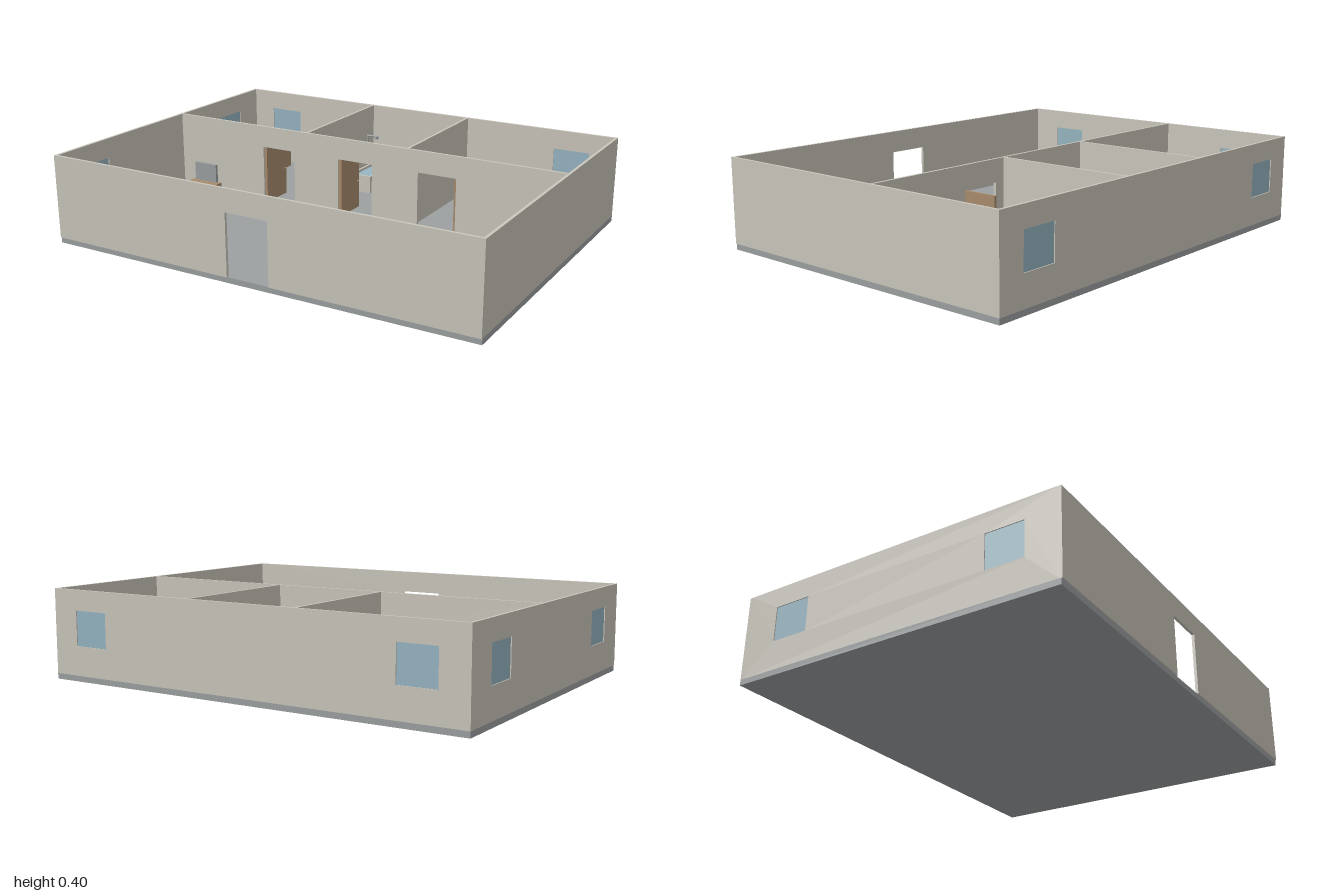
import * as THREE from 'three';

const mat = (name, color) => {
  const m = new THREE.MeshStandardMaterial({ color });
  m.name = name;
  return m;
};

export function createModel() {
  const cream = mat('cream', 0xcac6bc);
  const wood = mat('wood', 0xa98c6d);
  const blue = mat('blue', 0x96b5c2);
  const grey = mat('grey', 0x9ca0a1);

  const F = 0.025; // floor level
  const H = 0.4;   // wall top
  const T = 0.0125; // wall thickness
  const model = new THREE.Group();
  model.name = 'house';

  const group = (name, parent = model) => {
    const g = new THREE.Group();
    g.name = name;
    parent.add(g);
    return g;
  };
  // Box given by its limits on each axis
  const box = (parent, name, material, x0, x1, y0, y1, z0, z1) => {
    const m = new THREE.Mesh(new THREE.BoxGeometry(x1 - x0, y1 - y0, z1 - z0), material);
    m.position.set((x0 + x1) / 2, (y0 + y1) / 2, (z0 + z1) / 2);
    m.name = name;
    parent.add(m);
    return m;
  };
  // Four legs at the corners of a rectangle
  const legs = (parent, x0, x1, z0, z1, top, w) => {
    for (const x of [x0, x1 - w]) for (const z of [z0, z1 - w])
      box(parent, 'leg', wood, x, x + w, F, top, z, z + w);
  };

  // Wall from a to b; doors are notches from the floor, windows are glazed holes
  const WIN = [0.155, 0.31];
  const wall = (name, a, b, { doors = [], windows = [] } = {}) => {
    const g = group(name);
    const s = new THREE.Shape();
    s.moveTo(a, F);
    for (const [d0, d1] of doors) {
      s.lineTo(d0, F);
      s.lineTo(d0, 0.3);
      s.lineTo(d1, 0.3);
      s.lineTo(d1, F);
    }
    s.lineTo(b, F);
    s.lineTo(b, H);
    s.lineTo(a, H);
    s.closePath();
    for (const [w0, w1] of windows) {
      const h = new THREE.Path();
      h.moveTo(w0, WIN[0]);
      h.lineTo(w0, WIN[1]);
      h.lineTo(w1, WIN[1]);
      h.lineTo(w1, WIN[0]);
      h.closePath();
      s.holes.push(h);
      box(g, 'windowGlass', blue, w0, w1, WIN[0], WIN[1], -0.002, 0.002);
    }
    const geo = new THREE.ExtrudeGeometry(s, { depth: T, bevelEnabled: false });
    geo.translate(0, 0, -T / 2);
    const m = new THREE.Mesh(geo, cream);
    m.name = 'wallPanel';
    g.add(m);
    return g;
  };

  // Floor and outer walls
  box(model, 'floor', grey, -1, 1, 0, F, -0.7525, 0.7475);
  const Z = 0.7525 - T / 2, X = 1 - T / 2, IN = 0.7525 - T;
  wall('frontWall', -1, 1, { doors: [[-0.1, 0.1]] }).position.z = Z;
  wall('backWall', -1, 1, { windows: [[-0.875, -0.705], [0.705, 0.875]] }).position.z = -Z;
  const sideWall = (name, x, a, b, opts) => {
    const w = wall(name, a, b, opts);
    w.rotation.y = -Math.PI / 2;
    w.position.x = x;
  };
  sideWall('rightWall', -X, -IN, IN, { windows: [[-0.59, -0.42], [0.43, 0.6]] });
  sideWall('leftWall', X, -IN, IN);

  // Partitions
  const PZ = -0.111;
  wall('hallWall', -1 + T, 1 - T, {
    doors: [[-0.505, -0.33], [-0.095, 0.083], [0.313, 0.497]],
  }).position.z = PZ;
  sideWall('bathWallRight', -0.265, -IN, PZ - T / 2);
  sideWall('bathWallLeft', 0.258, -IN, PZ - T / 2);

  // Open room doors with knobs on the opening side
  for (const [x, side] of [[-0.498, 1], [-0.087, 1], [0.491, -1]]) {
    const d = group('door');
    box(d, 'doorPanel', wood, x - 0.006, x + 0.006, F, 0.295, -0.277, -0.113);
    const knob = new THREE.Mesh(new THREE.SphereGeometry(0.005, 12, 8), wood);
    knob.position.set(x + side * 0.009, 0.155, -0.263);
    knob.name = 'doorKnob';
    d.add(knob);
  }

  // Bedrooms, mirrored
  for (const s of [-1, 1]) {
    const room = group(s < 0 ? 'rightBedroom' : 'leftBedroom');
    const b = (name, m, x0, x1, ...r) =>
      box(room, name, m, s < 0 ? -x1 : x0, s < 0 ? -x0 : x1, ...r);
    b('bedFrame', wood, 0.813, 0.984, F, 0.075, -0.739, -0.49);
    b('mattress', cream, 0.825, 0.972, 0.075, 0.095, -0.729, -0.502);
    b('blanket', blue, 0.824, 0.973, 0.075, 0.099, -0.613, -0.517);
    b('pillow', cream, 0.855, 0.945, 0.095, 0.112, -0.727, -0.688);
    b('nightstand', wood, 0.73, 0.785, F, 0.125, -0.68, -0.63);
    b('chestOfDrawers', wood, 0.863, 0.962, F, 0.255, -0.315, -0.228);
  }

  // Bathtub: a rim with an opening, filled with water
  const bath = group('bathroom');
  box(bath, 'tubSide', cream, -0.243, -0.232, F, 0.11, -0.71, -0.475);
  box(bath, 'tubSide', cream, -0.141, -0.13, F, 0.11, -0.71, -0.475);
  box(bath, 'tubEnd', cream, -0.232, -0.141, F, 0.11, -0.71, -0.699);
  box(bath, 'tubEnd', cream, -0.232, -0.141, F, 0.11, -0.486, -0.475);
  box(bath, 'water', blue, -0.232, -0.141, F, 0.098, -0.699, -0.486);

  // Shower pipe and head
  const rod = (name, r, h, x, y, z, tilt = 0) => {
    const m = new THREE.Mesh(new THREE.CylinderGeometry(r, r, h, 16), grey);
    m.position.set(x, y, z);
    m.rotation.z = tilt;
    m.name = name;
    bath.add(m);
  };
  rod('showerPipe', 0.004, 0.19, -0.252, 0.165, -0.667);
  rod('showerArm', 0.004, 0.055, -0.228, 0.26, -0.667, Math.PI / 2);
  rod('showerHead', 0.009, 0.012, -0.202, 0.254, -0.667);

  // Washbasin and toilet
  box(bath, 'basinPedestal', cream, 0.132, 0.162, F, 0.12, -0.622, -0.59);
  box(bath, 'basin', cream, 0.11, 0.185, 0.12, 0.15, -0.63, -0.575);
  box(bath, 'basinBack', cream, 0.11, 0.185, 0.15, 0.16, -0.63, -0.607);
  box(bath, 'toiletBowl', cream, 0.133, 0.183, F, 0.09, -0.37, -0.302);
  box(bath, 'toiletTank', cream, 0.13, 0.186, F, 0.14, -0.39, -0.37);

  // Living area
  const living = group('livingArea');
  box(living, 'mediaStand', wood, -0.868, -0.71, F, 0.107, -0.036, 0.008);
  box(living, 'television', grey, -0.853, -0.73, 0.107, 0.195, -0.036, -0.022);
  box(living, 'coffeeTableTop', wood, -0.842, -0.735, 0.083, 0.095, 0.185, 0.247);
  legs(living, -0.838, -0.739, 0.189, 0.243, 0.083, 0.01);
  box(living, 'sofaSeat', cream, -0.889, -0.695, F, 0.085, 0.4, 0.472);
  box(living, 'sofaBack', cream, -0.905, -0.679, F, 0.16, 0.472, 0.488);
  box(living, 'sofaArm', cream, -0.907, -0.889, F, 0.115, 0.398, 0.472);
  box(living, 'sofaArm', cream, -0.695, -0.677, F, 0.115, 0.398, 0.472);

  // Dining table and chairs
  const dining = group('diningArea');
  box(dining, 'tableTop', wood, 0.565, 0.757, 0.122, 0.136, 0.178, 0.302);
  legs(dining, 0.572, 0.75, 0.185, 0.295, 0.122, 0.013);
  for (const x of [0.496, 0.822]) {
    const c = group('chair', dining);
    box(c, 'seat', wood, x - 0.027, x + 0.027, 0.09, 0.1, 0.212, 0.266);
    box(c, 'chairBack', wood, x - 0.023, x + 0.023, 0.09, 0.172, 0.2, 0.212);
    legs(c, x - 0.025, x + 0.025, 0.214, 0.264, 0.09, 0.008);
  }

  // Kitchen
  const kitchen = group('kitchen');
  box(kitchen, 'counter', wood, 0.474, 0.846, F, 0.145, 0.607, 0.688);
  for (const x of [0.516, 0.703])
    box(kitchen, 'counterPlate', grey, x, x + 0.064, 0.145, 0.149, 0.622, 0.673);
  box(kitchen, 'fridge', cream, 0.854, 0.952, F, 0.257, 0.513, 0.6);

  return model;
}
